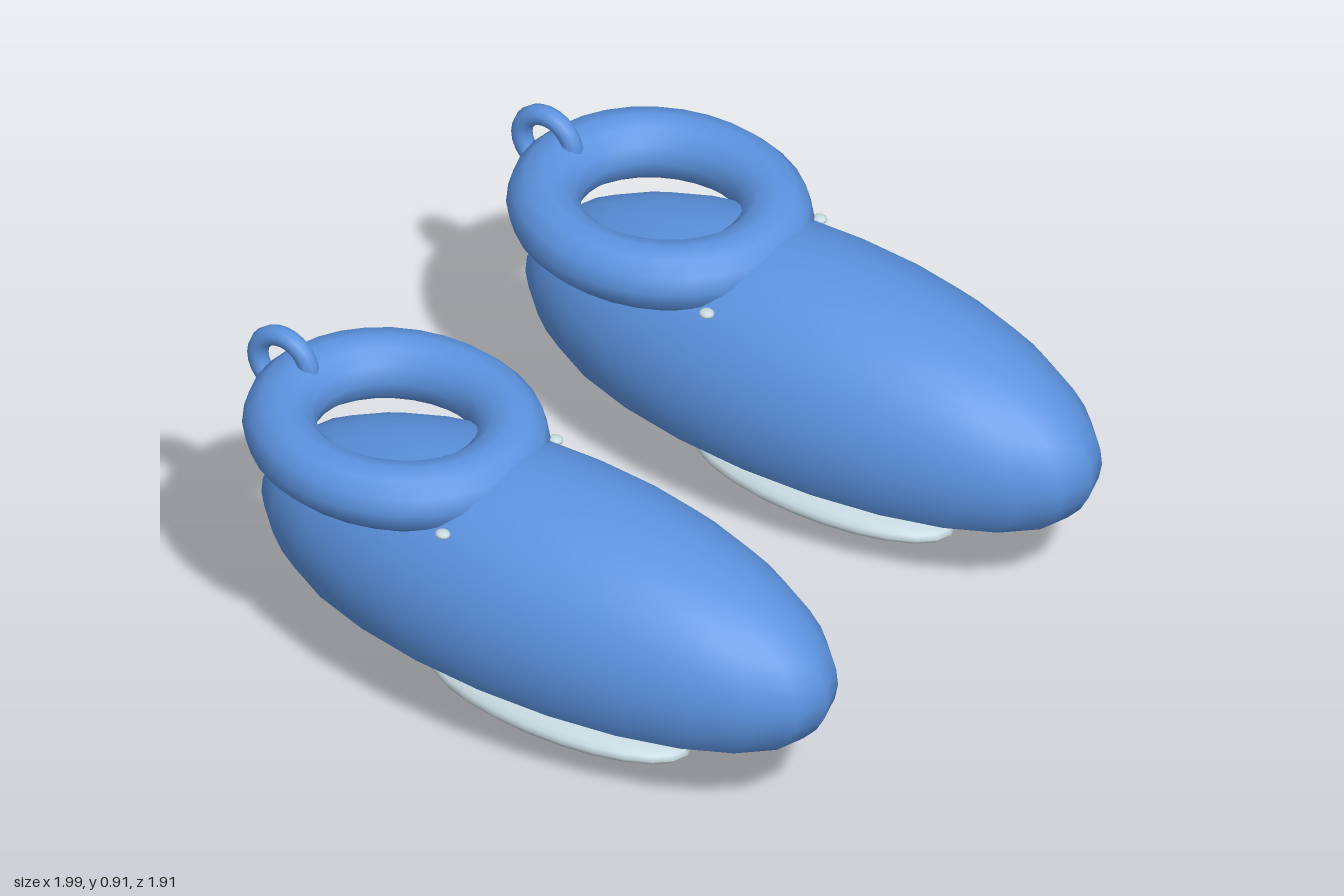
import * as THREE from 'three';

const blue = new THREE.MeshStandardMaterial({ color: 0x5c93e0 });
blue.name = 'blue fabric';
const pale = new THREE.MeshStandardMaterial({ color: 0xc6d8de });
pale.name = 'pale grey sole';

function addPart(parent, name, geometry, material, position, scale = [1, 1, 1]) {
  const mesh = new THREE.Mesh(geometry, material);
  mesh.name = name;
  mesh.position.set(...position);
  mesh.scale.set(...scale);
  parent.add(mesh);
  return mesh;
}

function createShoe(name, x) {
  const shoe = new THREE.Group();
  shoe.name = name;
  shoe.position.x = x;

  // Upper: a long ellipsoid cut flat a little below its middle
  const cut = THREE.MathUtils.degToRad(114);
  const size = [0.36, 0.37, 0.918];
  const centre = [0, 0.43, 0.037];
  addPart(shoe, 'upper', new THREE.SphereGeometry(1, 24, 15, 0, Math.PI * 2, 0, cut), blue, centre, size);

  // Flat underside closing the cut
  const disc = new THREE.CircleGeometry(Math.sin(cut), 24).rotateX(Math.PI / 2);
  addPart(shoe, 'underside', disc, blue,
    [0, centre[1] + size[1] * Math.cos(cut), centre[2]], [size[0], 1, size[2]]);

  // Padded ankle collar, stretched front to back
  const ring = new THREE.TorusGeometry(0.29, 0.093, 12, 32).rotateX(Math.PI / 2);
  addPart(shoe, 'collar', ring, blue, [0, 0.737, -0.47], [1, 1.03, 1.125]);

  // Upright pull loop at the heel
  const loop = new THREE.TorusGeometry(0.084, 0.029, 10, 24).rotateY(Math.PI / 2);
  addPart(shoe, 'heelLoop', loop, blue, [0, 0.802, -0.843]);

  // Small pale tips peeking out under the collar
  for (const side of [-1, 1]) {
    addPart(shoe, side > 0 ? 'leftLaceTip' : 'rightLaceTip', new THREE.SphereGeometry(1, 12, 8), pale,
      [side * 0.262, 0.69, -0.13], [0.02, 0.012, 0.022]);
  }

  // Separate flattened sole below the upper
  addPart(shoe, 'sole', new THREE.SphereGeometry(1, 24, 14), pale, [0, 0.058, 0.07], [0.158, 0.055, 0.422]);
  return shoe;
}

export function createModel() {
  const model = new THREE.Group();
  model.name = 'pairOfShoes';
  model.add(createShoe('leftShoe', 0.613), createShoe('rightShoe', -0.613));
  return model;
}
